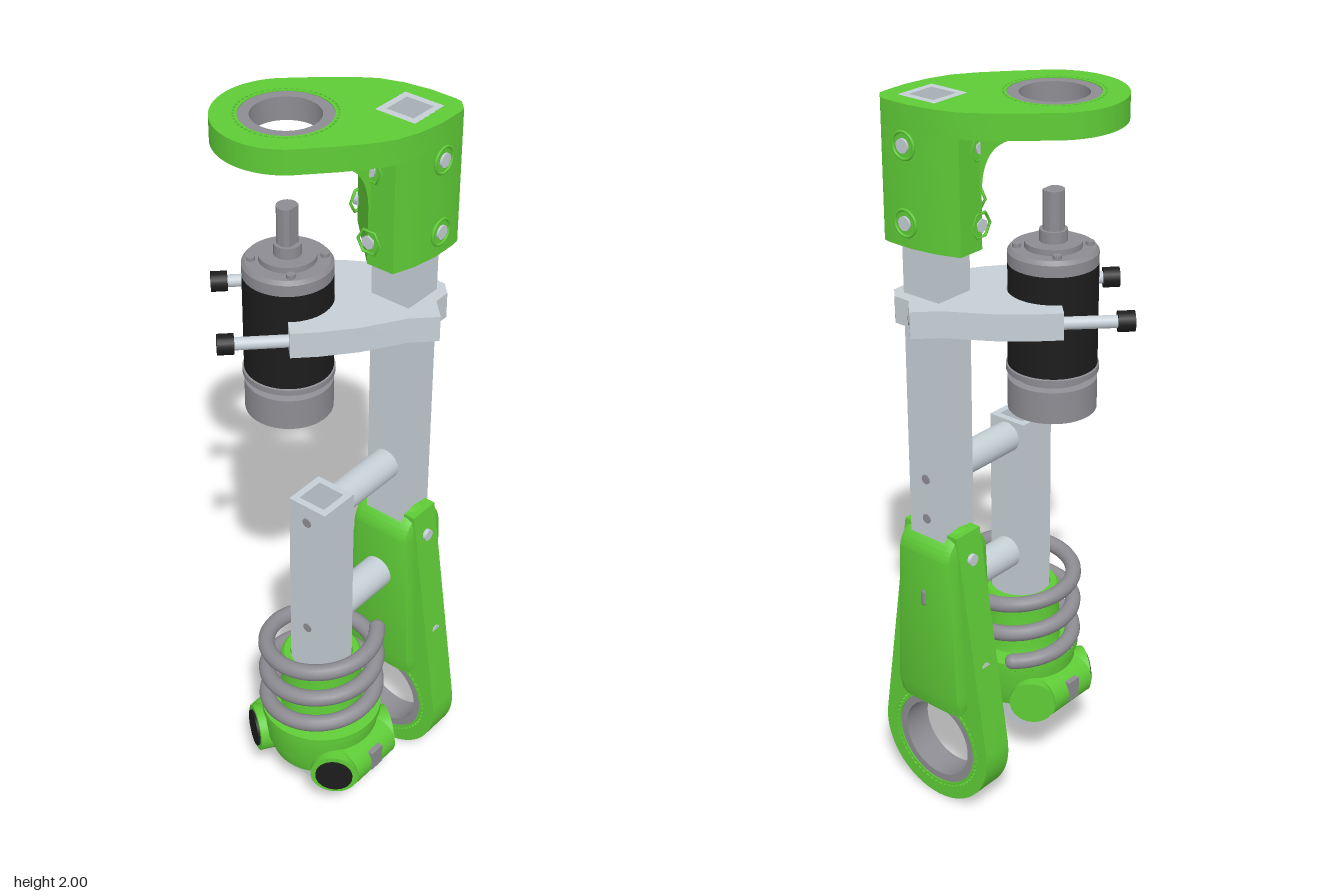
import * as THREE from 'three';
import { toCreasedNormals } from 'three/addons/utils/BufferGeometryUtils.js';

const mat = (color) => new THREE.MeshStandardMaterial({ color });
const GREEN = mat(0x5ecb36), ALU = mat(0xc5cfd6), GREY = mat(0x8c8c92), BLACK = mat(0x1c1c1c);
const TX = 0.117, TUBE_Z = -0.173, STRUT_Z = 0.145;

function add(parent, name, geo, material, x = 0, y = 0, z = 0) {
  const m = new THREE.Mesh(geo, material);
  m.name = name;
  m.position.set(x, y, z);
  parent.add(m);
  return m;
}
const cyl = (r, h, n = 40) => new THREE.CylinderGeometry(r, r, h, n);
const cylZ = (r, h, n = 32) => cyl(r, h, n).rotateX(Math.PI / 2);
const shapeOf = (pts) => new THREE.Shape(pts.map((p) => new THREE.Vector2(...p)));
const circle = (r, x = 0, y = 0) => new THREE.Path().absarc(x, y, r, 0, Math.PI * 2, true);
const extrude = (shape, depth, opts = {}) => toCreasedNormals(
  new THREE.ExtrudeGeometry(shape, { depth, bevelEnabled: false, curveSegments: 28, ...opts }), 0.6);
// Plan outline extruded upwards from y0 to y1
const plan = (shape, y0, y1) => extrude(shape, y1 - y0).rotateX(-Math.PI / 2).translate(0, y0, 0);
const lathe = (pts) => toCreasedNormals(
  new THREE.LatheGeometry(pts.map((p) => new THREE.Vector2(...p)), 48).toNonIndexed(), 0.5);
const square = (h) => [[-h, -h], [h, -h], [h, h], [-h, h]];
const mirrored = (half) => [...half, ...half.slice().reverse().map(([a, b]) => [a, -b])];

function squareTube(y0, y1) {
  const s = shapeOf(square(0.0575));
  s.holes.push(shapeOf(square(0.039)));
  return plan(s, y0, y1);
}

// Ring of narrow arc slots around a bearing seat
function slotRing(shape, r0, r1, cx, cy, n) {
  for (let i = 0; i < n; i++) {
    const a = (i / n) * Math.PI * 2, b = a + (Math.PI * 2 / n) * 0.62;
    const p = (r, t) => new THREE.Vector2(cx + r * Math.cos(t), cy + r * Math.sin(t));
    shape.holes.push(new THREE.Path([p(r0, a), p(r1, a), p(r1, b), p(r0, b)]));
  }
}

function ring(ro, ri, h) {
  return lathe([[ri, 0], [ro, 0], [ro, h], [ri, h], [ri, 0]]);
}

// Parts laid out on the diagonal through motor (origin) and main tube (x = 0.285)
function buildHead() {
  const g = new THREE.Group();
  g.name = 'head';
  g.position.set(-0.086, 0, 0.028);
  g.rotation.y = Math.PI / 4;
  const tubeHole = (k) => new THREE.Path([[k, 0], [0, k], [-k, 0], [0, -k]]
    .map(([a, b]) => new THREE.Vector2(0.285 + a, b)));

  // Teardrop top plate
  const edge = [[0.1, 0.174], [0.17, 0.168], [0.234, 0.155], [0.29, 0.127], [0.347, 0.085], [0.397, 0.034]];
  const tip = [[0.408, 0.018]];
  const plate = new THREE.Shape();
  plate.absarc(0, 0, 0.178, Math.PI / 2, Math.PI * 1.5, false);
  mirrored([...edge, ...tip]).map(([a, b]) => [a, -b]).forEach(([a, b]) => plate.lineTo(a, b));
  plate.holes.push(circle(0.113), tubeHole(0.08));
  slotRing(plate, 0.1195, 0.1245, 0, 0, 52);
  add(g, 'topPlate', plan(plate, 1.936, 2), GREEN);

  // Socket block around the tube and the concave blend under the plate
  const block = shapeOf(mirrored([[0.18, 0.102], ...edge.slice(2), ...tip]));
  block.holes.push(tubeHole(0.08));
  add(g, 'socketBlock', plan(block, 1.65, 1.94), GREEN);
  const fil = new THREE.Shape();
  fil.moveTo(0.07, 1.937);
  fil.quadraticCurveTo(0.18, 1.937, 0.18, 1.79);
  fil.lineTo(0.19, 1.79);
  fil.lineTo(0.19, 1.937);
  const fg = new THREE.ExtrudeGeometry(fil, { depth: 2, bevelEnabled: false, curveSegments: 16 }).translate(0, 0, -1);
  const p = fg.attributes.position;
  for (let i = 0; i < p.count; i++) p.setZ(i, p.getZ(i) * (0.17 - 0.066 * (p.getX(i) - 0.07) / 0.12));
  fg.computeVertexNormals();
  add(g, 'plateBlend', toCreasedNormals(fg, 0.6), GREEN);
  add(g, 'topBearing', ring(0.113, 0.085, 0.06), GREY, 0, 1.938, 0);

  // Gear motor
  add(g, 'motorRear', lathe([[0, 1.185], [0.113, 1.185], [0.113, 1.27], [0.096, 1.275], [0.096, 1.288],
    [0.117, 1.29], [0.117, 1.305], [0.105, 1.31]]), GREY);
  add(g, 'motorBody', cyl(0.113, 0.268), BLACK, 0, 1.441, 0);
  add(g, 'motorFront', lathe([[0.113, 1.575], [0.113, 1.605], [0.105, 1.615], [0.072, 1.615], [0.072, 1.63],
    [0.035, 1.63], [0.035, 1.66], [0.022, 1.66]]), GREY);
  for (let i = 0; i < 4; i++) {
    const a = i * Math.PI / 2;
    add(g, 'motorScrew', cyl(0.011, 0.012, 12), GREY, 0.09 * Math.cos(a), 1.619, 0.09 * Math.sin(a));
  }
  const shaft = new THREE.Shape().absarc(0, 0, 0.027, 0.7, Math.PI * 2 - 0.7, false);
  add(g, 'motorShaft', plan(shaft, 1.62, 1.76), GREY).rotation.y = -Math.PI / 4;

  // Clamp joining motor to tube
  const clamp = new THREE.Shape();
  clamp.moveTo(-0.01, 0.114);
  [[-0.01, 0.165], [0.06, 0.165], [0.16, 0.155], [0.28, 0.126], [0.358, 0.126], [0.358, 0.055], [0.39, 0.022],
    [0.39, -0.022], [0.358, -0.055], [0.358, -0.126], [0.28, -0.126], [0.16, -0.155], [0.06, -0.165],
    [-0.01, -0.165], [-0.01, -0.114]].forEach(([a, b]) => clamp.lineTo(a, b));
  clamp.absarc(0, 0, 0.1145, -1.658, 1.658, false);
  clamp.holes.push(tubeHole(0.08));
  add(g, 'clamp', plan(clamp, 1.435, 1.505), ALU);
  for (const s of [-1, 1]) {
    add(g, 'clampRod', cyl(0.016, 0.17, 20).rotateZ(Math.PI / 2), ALU, -0.085, 1.47, s * 0.142);
    add(g, 'clampKnob', cyl(0.026, 0.042, 20).rotateZ(Math.PI / 2), BLACK, -0.163, 1.47, s * 0.142);
    add(g, 'clampScrew', cyl(0.012, 0.006, 16).rotateZ(Math.PI / 2), GREY, 0.358, 1.47, s * 0.09);
  }
  return g;
}

// Screws in the socket block faces
function buildScrews(g) {
  for (const y of [1.71, 1.9]) {
    for (const [x, z, turn, hex] of [[0.219, TUBE_Z, 1, 0], [TX, -0.277, 0, 0], [TX, -0.028, 0, 1], [-0.028, TUBE_Z, 1, 1]]) {
      const s = new THREE.Group();
      s.name = 'blockScrew';
      s.position.set(x, y, z);
      s.rotation.y = turn * Math.PI / 2;
      add(s, 'seatRing', new THREE.TorusGeometry(0.033, 0.004, 8, hex ? 6 : 28), GREEN);
      add(s, 'screw', cylZ(0.018, 0.012, hex ? 6 : 20), ALU);
      g.add(s);
    }
  }
}

// Lower leg: tapered plate with bearing eye, and a thicker sleeve round the tube
function buildLeg(g) {
  const eye = new THREE.Shape();
  eye.moveTo(0.09, 0.855);
  eye.lineTo(-0.09, 0.855);
  eye.lineTo(-0.184, 0.21);
  eye.absarc(0, 0.185, 0.185, Math.PI * 0.957, Math.PI * 2.043, false);
  eye.holes.push(circle(0.135, 0, 0.185));
  slotRing(eye, 0.143, 0.148, 0, 0.185, 56);
  add(g, 'legPlate', extrude(eye, 0.09), GREEN, TX, 0, TUBE_Z - 0.045);
  add(g, 'legBearing', ring(0.135, 0.113, 0.084).rotateX(Math.PI / 2), GREY, TX, 0.185, TUBE_Z - 0.042);

  const side = new THREE.Shape();
  side.moveTo(-0.045, 0.335);
  side.lineTo(0.045, 0.335);
  side.lineTo(0.055, 0.37);
  side.lineTo(0.055, 0.78);
  side.absarc(0, 0.78, 0.055, 0, Math.PI, false);
  side.lineTo(-0.055, 0.37);
  const sleeve = extrude(side, 0.13, { bevelEnabled: true, bevelSize: 0.025, bevelThickness: 0.025, bevelSegments: 2 })
    .translate(0, 0, -0.065).rotateY(Math.PI / 2);
  const p = sleeve.attributes.position;
  for (let i = 0; i < p.count; i++) p.setX(i, p.getX(i) * (1 + 0.55 * Math.max(0, 0.86 - p.getY(i))));
  add(g, 'legSleeve', sleeve, GREEN, TX, 0, TUBE_Z);
  for (const [y, x] of [[0.78, 0.1], [0.46, 0.137]]) {
    for (const s of [-1, 1]) add(g, 'sleevePin', cyl(0.016, 0.02, 20).rotateZ(Math.PI / 2), ALU, TX + s * x, y, TUBE_Z);
  }
  add(g, 'sleeveSlot', new THREE.CapsuleGeometry(0.014, 0.03, 4, 12), GREY, TX, 0.66, TUBE_Z - 0.07);
}

// Sprung foot strut in front of the tube
function buildStrut(g) {
  add(g, 'strut', squareTube(0.27, 1.055), ALU, TX, 0, STRUT_Z);
  for (const [y, r] of [[1.005, 0.042], [0.65, 0.045]]) {
    add(g, 'spacer', cylZ(r, 0.206), ALU, TX, y, -0.013);
    add(g, 'spacerScrew', cylZ(0.013, 0.006, 16), GREY, TX, y, STRUT_Z + 0.057);
    add(g, 'spacerScrew', cylZ(0.013, 0.006, 16), GREY, TX, y + 0.24 * (y < 0.8), TUBE_Z - 0.057);
  }
  // Forked strut end with pivot link
  const cheek = shapeOf([[-0.0575, 0.09], [0.0575, 0.09], [0.0575, 0.275], [-0.0575, 0.275]]);
  cheek.holes.push(circle(0.03, 0, 0.185));
  for (const z of [0.167, 0.0875]) add(g, 'forkCheek', extrude(cheek, 0.035), ALU, TX, 0, z);
  const link = shapeOf([[-0.04, 0.1], [0.04, 0.1], [0.04, 0.29], [-0.04, 0.29]]);
  link.holes.push(circle(0.03, 0, 0.185));
  add(g, 'pivotLink', extrude(link, 0.042), GREY, TX, 0, 0.124);
  for (const z of [0.202, 0.078]) {
    const nut = shapeOf([0, 1, 2, 3, 4, 5].map((i) => [0.052 * Math.sin(i * Math.PI / 3), 0.052 * Math.cos(i * Math.PI / 3)]));
    nut.holes.push(circle(0.03));
    add(g, 'pivotNut', extrude(nut, 0.012), ALU, TX, 0.195, z);
  }

  // Spring seat
  add(g, 'springSeat', lathe([[0.083, 0.27], [0.075, 0.18], [0.1, 0.178], [0.135, 0.2], [0.152, 0.25], [0.155, 0.325],
    [0.162, 0.33], [0.162, 0.35], [0.112, 0.355], [0.108, 0.37], [0.108, 0.52], [0.1, 0.53], [0.083, 0.53], [0.083, 0.27]]),
  GREEN, TX, 0, STRUT_Z);
  for (const sx of [-1, 1]) {
    for (const sz of [-1, 1]) {
      const lobe = new THREE.Group();
      lobe.name = 'seatLobe';
      lobe.position.set(TX + sx * 0.14, 0.235, STRUT_Z + sz * 0.117);
      lobe.rotation.y = Math.atan2(sx * 0.55, sz * 0.83);
      add(lobe, 'lobeBody', cylZ(0.064, 0.14), GREEN, 0, 0, -0.07);
      if (sz > 0) add(lobe, 'lobeCap', cylZ(0.05, 0.012), BLACK);
      g.add(lobe);
    }
    add(g, 'lobeBridge', cylZ(0.06, 0.16), GREEN, TX + sx * 0.136, 0.235, STRUT_Z);
    add(g, 'sidePad', new THREE.BoxGeometry(0.02, 0.06, 0.044), GREY, TX + sx * 0.186, 0.245, STRUT_Z);
  }

  // Coil spring
  const pts = [];
  for (let i = 0; i <= 100; i++) {
    const a = -2.6 + (i / 100) * (Math.PI * 4 + 4.85);
    pts.push(new THREE.Vector3(0.147 * Math.sin(a), 0.352 + 0.0148 * (a + 2.6), 0.147 * Math.cos(a)));
  }
  const path = new THREE.CatmullRomCurve3(pts);
  add(g, 'spring', new THREE.TubeGeometry(path, 180, 0.022, 14), GREY, TX, 0, STRUT_Z);
  for (const p of [pts[0], pts[100]]) {
    add(g, 'springEnd', new THREE.SphereGeometry(0.022, 14, 10), GREY, TX + p.x, p.y, STRUT_Z + p.z);
  }
}

export function createModel() {
  const g = new THREE.Group();
  g.name = 'legAssembly';
  add(g, 'mainTube', squareTube(0.38, 2), ALU, TX, 0, TUBE_Z);
  g.add(buildHead());
  buildScrews(g);
  buildLeg(g);
  buildStrut(g);
  return g;
}
